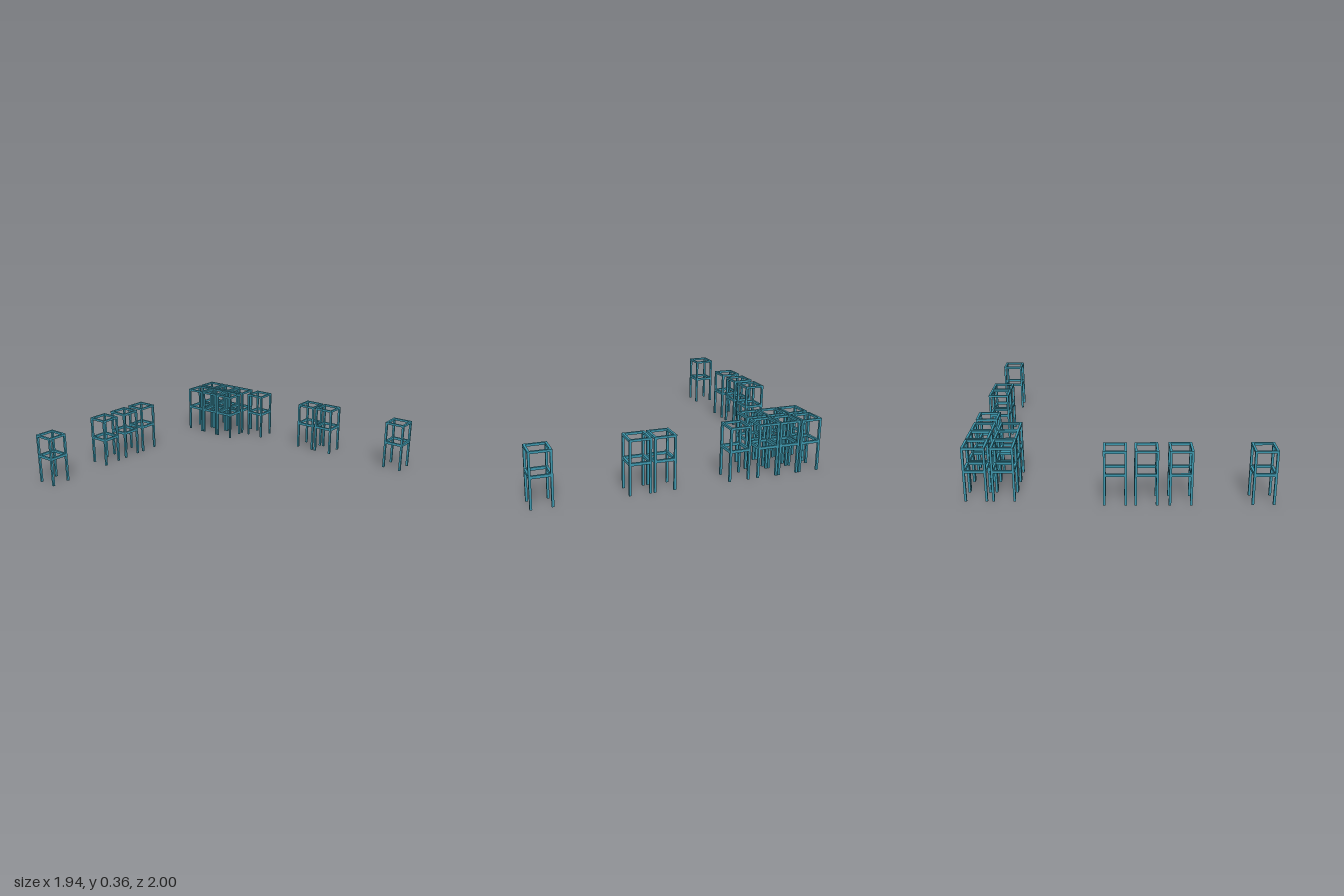
import * as THREE from 'three';

const WIDTH = 0.147, HEIGHT = 0.362, BAR = 0.015, RAIL_Y = 0.202, RAIL_H = 0.018;

// [x, z] centre of every stool frame
const PLACES = [
  // back row
  [-0.895, -0.926], [-0.381, -0.926], [-0.169, -0.926], [0.025, -0.926],
  // paired block in the corner
  ...[-0.872, -0.715, -0.562].flatMap(z => [[0.719, z], [0.894, z]]),
  // side row
  [0.894, -0.36], [0.894, 0.152], [0.894, 0.314], [0.894, 0.926],
];

export function createModel() {
  const model = new THREE.Group();
  const teal = new THREE.MeshStandardMaterial({ color: 0x3c94aa });
  teal.name = 'teal paint';

  const off = (WIDTH - BAR) / 2;
  const inner = WIDTH - 2 * BAR;
  const legLength = HEIGHT - BAR;
  const legGeo = new THREE.BoxGeometry(BAR, legLength, BAR);
  const seatXGeo = new THREE.BoxGeometry(WIDTH, BAR, BAR);
  const seatZGeo = new THREE.BoxGeometry(BAR, BAR, inner);
  // middle rails fit between the legs
  const railXGeo = new THREE.BoxGeometry(inner, RAIL_H, BAR);
  const railZGeo = new THREE.BoxGeometry(BAR, RAIL_H, inner);

  const add = (parent, geo, name, x, y, z) => {
    const mesh = new THREE.Mesh(geo, teal);
    mesh.name = name;
    mesh.position.set(x, y, z);
    parent.add(mesh);
  };

  PLACES.forEach(([x, z], i) => {
    const stool = new THREE.Group();
    stool.name = `stoolFrame${i + 1}`;
    stool.position.set(x, 0, z);
    for (const s of [-1, 1]) {
      // legs
      for (const t of [-1, 1]) add(stool, legGeo, 'leg', s * off, legLength / 2, t * off);
      // open seat frame
      add(stool, seatXGeo, 'seatRail', 0, HEIGHT - BAR / 2, s * off);
      add(stool, seatZGeo, 'seatRail', s * off, HEIGHT - BAR / 2, 0);
      // middle rails
      add(stool, railXGeo, 'middleRail', 0, RAIL_Y, s * off);
      add(stool, railZGeo, 'middleRail', s * off, RAIL_Y, 0);
    }
    model.add(stool);
  });
  return model;
}
